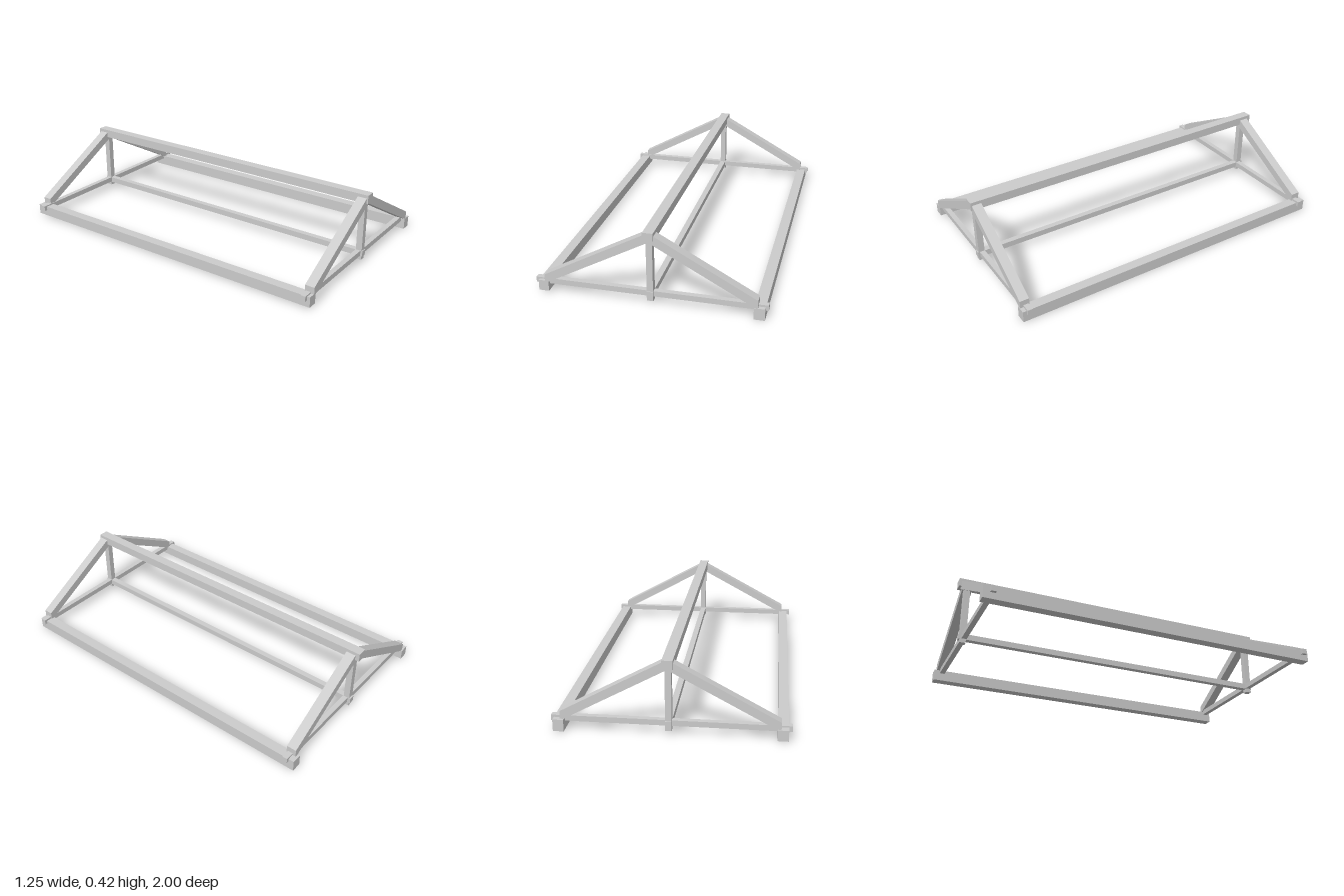
import * as THREE from 'three';

const material = new THREE.MeshStandardMaterial({ color: 0xcccccc, flatShading: true });

// Squared timber given by its extents along each axis
function beam(name, [x0, x1], [y0, y1], [z0, z1]) {
  const mesh = new THREE.Mesh(new THREE.BoxGeometry(x1 - x0, y1 - y0, z1 - z0), material);
  mesh.position.set((x0 + x1) / 2, (y0 + y1) / 2, (z0 + z1) / 2);
  mesh.name = name;
  return mesh;
}

// Sloping timber with plumb-cut ends and a level seat cut at its foot
function rafter(name, side, [z0, z1]) {
  const foot = side * 0.573, top = 0.004;
  const seat = side * 0.555;
  const shape = new THREE.Shape([
    [foot, 0.066], [foot, 0.109], [top, 0.421], [top, 0.367], [seat, 0.066],
  ].map(([x, y]) => new THREE.Vector2(x, y)));
  const geometry = new THREE.ExtrudeGeometry(shape, { depth: z1 - z0, bevelEnabled: false });
  const mesh = new THREE.Mesh(geometry, material);
  mesh.position.z = z0;
  mesh.name = name;
  return mesh;
}

export function createModel() {
  const roof = new THREE.Group();
  roof.name = 'roofFrame';

  // Long timbers running front to back
  roof.add(
    beam('ridgeBeam', [-0.024, 0.033], [0.374, 0.424], [-1, 1]),
    beam('rightWallPlate', [-0.611, -0.555], [0.01, 0.07], [-0.995, 0.99]),
    beam('leftWallPlate', [0.552, 0.61], [0, 0.066], [-0.99, 0.995]),
    beam('centreRail', [-0.012, 0.022], [0.043, 0.077], [-0.975, 0.985]),
  );

  // One truss at each end
  const trusses = [
    { name: 'frontTruss', tie: [0.943, 0.973], post: [0.944, 0.98], right: [0.937, 0.992], left: [0.937, 0.992] },
    { name: 'backTruss', tie: [-0.957, -0.927], post: [-0.967, -0.931], right: [-0.986, -0.931], left: [-0.976, -0.919] },
  ];
  for (const t of trusses) {
    const truss = new THREE.Group();
    truss.name = t.name;
    truss.add(
      beam('tieBeam', [-0.63, 0.625], [0.047, 0.078], t.tie),
      beam('kingPost', [-0.012, 0.022], [0.022, 0.38], t.post),
      rafter('rightRafter', -1, t.right),
      rafter('leftRafter', 1, t.left),
    );
    roof.add(truss);
  }
  return roof;
}
